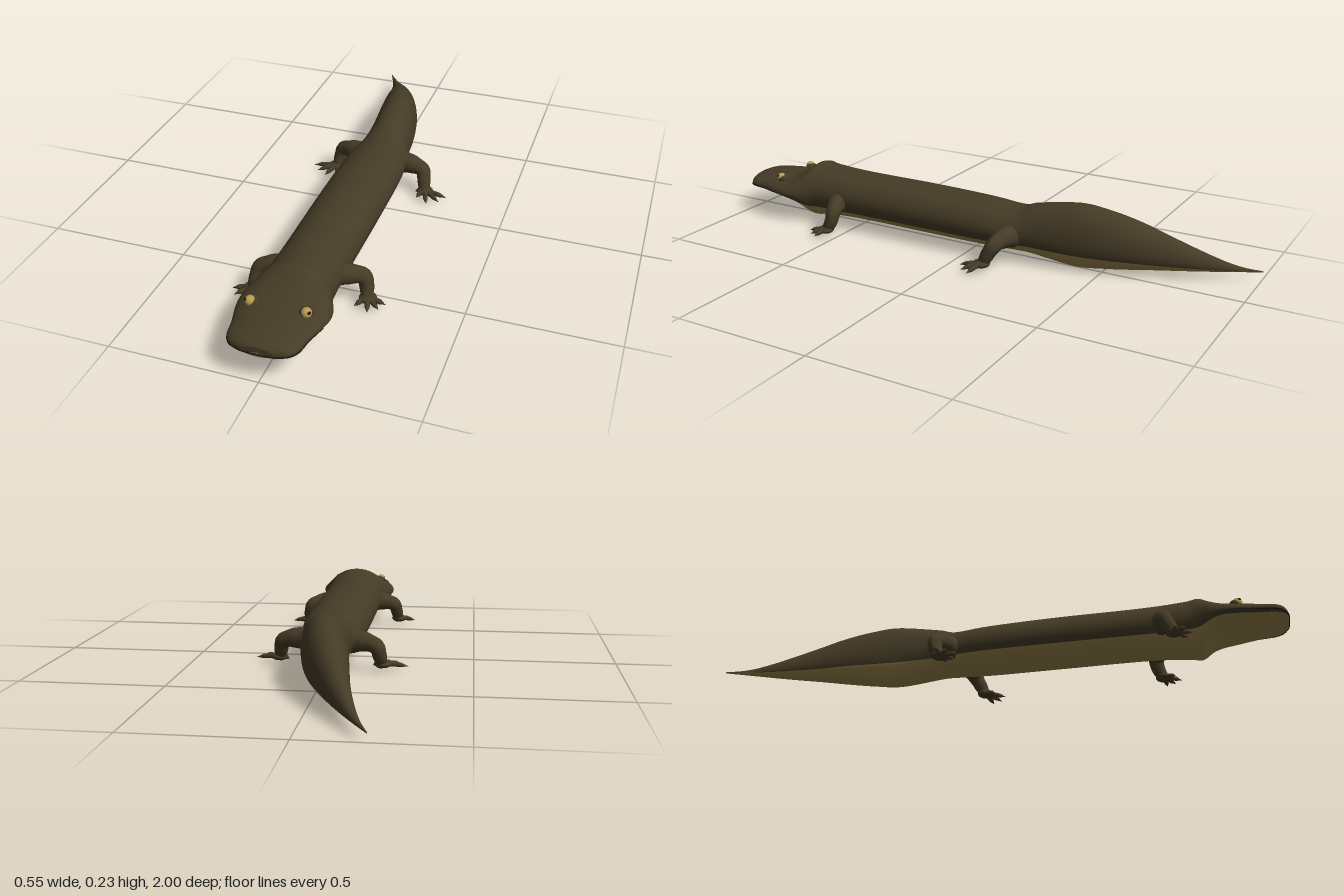
import * as THREE from 'three';

const skin = new THREE.MeshStandardMaterial({ color: 0x453b26 });
skin.name = 'dark olive skin';
const belly = new THREE.MeshStandardMaterial({ color: 0x96824a });
belly.name = 'tan belly';
const gold = new THREE.MeshStandardMaterial({ color: 0xb89c4c });
gold.name = 'gold iris';
const dark = new THREE.MeshStandardMaterial({ color: 0x1c170f });
dark.name = 'near black';

// Cross-sections from snout to tail tip:
// z, half width, top y, widest y, bottom y, y of the colour border
const SECTIONS = [
  [1.0, 0.05, 0.137, 0.12, 0.104, 0.112],
  [0.985, 0.092, 0.147, 0.12, 0.1, 0.11],
  [0.955, 0.115, 0.154, 0.12, 0.096, 0.108],
  [0.9, 0.125, 0.16, 0.12, 0.092, 0.107],
  [0.83, 0.144, 0.165, 0.118, 0.087, 0.104],
  [0.78, 0.15, 0.173, 0.116, 0.078, 0.1],
  [0.74, 0.142, 0.195, 0.116, 0.052, 0.09],
  [0.7, 0.125, 0.221, 0.116, 0.013, 0.074],
  [0.65, 0.116, 0.215, 0.117, 0.018, 0.073],
  [0.5, 0.115, 0.207, 0.117, 0.029, 0.073],
  [0.2, 0.116, 0.206, 0.117, 0.03, 0.074],
  [-0.05, 0.113, 0.2, 0.115, 0.03, 0.074],
  [-0.18, 0.1, 0.193, 0.11, 0.032, 0.074],
  [-0.25, 0.086, 0.213, 0.112, 0.028, 0.074],
  [-0.4, 0.08, 0.235, 0.11, 0.005, 0.067],
  [-0.5, 0.076, 0.222, 0.105, 0.01, 0.064],
  [-0.6, 0.066, 0.193, 0.095, 0.018, 0.06],
  [-0.7, 0.05, 0.15, 0.08, 0.025, 0.053],
  [-0.9, 0.016, 0.06, 0.043, 0.031, 0.039],
  [-1.0, 0.002, 0.035, 0.033, 0.031, 0.0325],
];

// The tail sweeps sideways in a parabola behind the hips
const spineX = z => -0.212 * (Math.max(0, -0.2 - z) / 0.8) ** 2;

// Smooth interpolation between neighbouring cross-sections
function sectionAt(t) {
  const last = SECTIONS.length - 1;
  const i = Math.min(Math.floor(t), last - 1), f = t - i;
  const row = k => SECTIONS[THREE.MathUtils.clamp(k, 0, last)];
  return row(i).map((p1, k) => {
    const p0 = row(i - 1)[k], p2 = row(i + 1)[k], p3 = row(i + 2)[k];
    const m1 = (p2 - p0) / 2, m2 = (p3 - p1) / 2;
    return p1 + f * (m1 + f * (3 * (p2 - p1) - 2 * m1 - m2 + f * (2 * (p1 - p2) + m1 + m2)));
  });
}

// Head, trunk and tail in one skin, with the belly as a second material group
function bodyGeometry() {
  const UPPER = 36, LOWER = 20, N = UPPER + LOWER, STEPS = 6;
  const positions = [], back = [], under = [];
  const rings = (SECTIONS.length - 1) * STEPS;
  for (let r = -1; r <= rings + 1; r++) {
    const [z, w, top, mid, bottom, border] = sectionAt(THREE.MathUtils.clamp(r, 0, rings) / STEPS);
    const size = r < 0 || r > rings ? 0.001 : 1; // closed ends
    const a = Math.asin(THREE.MathUtils.clamp((mid - border) / (mid - bottom), 0, 1));
    for (let j = 0; j < N; j++) {
      const th = j < UPPER
        ? -a + (Math.PI + 2 * a) * j / UPPER
        : Math.PI + a + (Math.PI - 2 * a) * (j - UPPER) / LOWER;
      const sn = Math.sin(th);
      const h = sn > 0 ? top - mid : mid - bottom;
      positions.push(spineX(z) + w * Math.cos(th) * size, mid + h * sn * size, z);
    }
  }
  for (let r = 0; r < rings + 2; r++) {
    for (let j = 0; j < N; j++) {
      const a = r * N + j, b = r * N + (j + 1) % N, c = a + N, d = b + N;
      (j < UPPER ? back : under).push(a, c, b, b, c, d);
    }
  }
  const g = new THREE.BufferGeometry();
  g.setAttribute('position', new THREE.Float32BufferAttribute(positions, 3));
  g.setIndex(back.concat(under));
  g.addGroup(0, back.length, 0);
  g.addGroup(back.length, under.length, 1);
  g.computeVertexNormals();
  return g;
}

// Tube along points whose radius follows a list of values
function taperedTube(points, radii, segments, sides) {
  const curve = new THREE.CatmullRomCurve3(points.map(p => new THREE.Vector3(...p)));
  const g = new THREE.TubeGeometry(curve, segments, 1, sides);
  const pos = g.attributes.position, v = new THREE.Vector3();
  for (let i = 0; i <= segments; i++) {
    const u = i / segments, t = u * (radii.length - 1);
    const k = Math.min(Math.floor(t), radii.length - 2);
    const f = THREE.MathUtils.smoothstep(t - k, 0, 1);
    const radius = THREE.MathUtils.lerp(radii[k], radii[k + 1], f);
    const c = curve.getPointAt(u);
    for (let j = 0; j <= sides; j++) {
      const n = i * (sides + 1) + j;
      v.fromBufferAttribute(pos, n).sub(c).multiplyScalar(radius).add(c);
      pos.setXYZ(n, v.x, v.y, v.z);
    }
  }
  g.computeVertexNormals();
  return g;
}

function mesh(name, geometry, material, parent) {
  const m = new THREE.Mesh(geometry, material);
  m.name = name;
  parent.add(m);
  return m;
}

// One leg: side (+1 left), hip z, ankle z, and the toe tips as [distance out, z]
function makeLeg(name, side, hipZ, ankleZ, toes) {
  const leg = new THREE.Group();
  leg.name = name;
  const kneeZ = ankleZ + (hipZ - ankleZ) * 0.2 - 0.01;
  const footZ = ankleZ + 0.018;
  mesh('limb', taperedTube([
    [0.07 * side, 0.105, hipZ], [0.125 * side, 0.105, (hipZ + kneeZ) / 2],
    [0.167 * side, 0.092, kneeZ], [0.178 * side, 0.06, ankleZ], [0.184 * side, 0.024, footZ],
  ], [0.046, 0.037, 0.029, 0.025, 0.02], 24, 14), skin, leg);
  const foot = mesh('foot', new THREE.SphereGeometry(1, 16, 12), skin, leg);
  foot.scale.set(0.03, 0.014, 0.03);
  foot.position.set(0.188 * side, 0.027, footZ);
  for (const [out, tipZ] of toes) {
    const middle = [(0.084 + out * 0.55) * side, 0.025, footZ * 0.45 + tipZ * 0.55];
    mesh('toe', taperedTube([[0.186 * side, 0.027, footZ], middle, [out * side, 0.018, tipZ]],
      [0.011, 0.009, 0.0085, 0.001], 10, 8), skin, leg);
  }
  return leg;
}

function makeEye(side) {
  const eye = new THREE.Group();
  eye.name = side > 0 ? 'leftEye' : 'rightEye';
  const lid = mesh('eyelid', new THREE.SphereGeometry(0.022, 20, 14), skin, eye);
  lid.scale.set(1, 0.75, 1);
  lid.position.set(0, -0.005, -0.004);
  const iris = mesh('iris', new THREE.SphereGeometry(0.017, 20, 14), gold, eye);
  iris.position.set(0.004 * side, 0, 0.003);
  // The pupil faces outward, up and forward
  const pupil = mesh('pupil', new THREE.SphereGeometry(1, 14, 10), dark, eye);
  const out = new THREE.Vector3(0.75 * side, 0.45, 0.5).normalize();
  pupil.scale.set(0.007, 0.005, 0.002);
  pupil.position.copy(iris.position).addScaledVector(out, 0.0165);
  pupil.quaternion.setFromUnitVectors(new THREE.Vector3(0, 0, 1), out);
  eye.position.set(0.087 * side, 0.161, 0.83);
  return eye;
}

export function createModel() {
  const model = new THREE.Group();
  model.name = 'salamander';
  mesh('body', bodyGeometry(), [skin, belly], model);

  // Thin mouth line around the snout
  const lip = [];
  for (let i = 0; i <= 8; i++) {
    const [z, w, , mid] = sectionAt(4 * (1 - i / 8));
    lip.push([w * 0.99, mid - 0.006, z]);
  }
  const mirrored = lip.slice().reverse().map(([x, y, z]) => [-x, y, z]);
  mesh('mouthLine', taperedTube(lip.concat(mirrored), [0.001, 0.0025, 0.0025, 0.001], 60, 6), dark, model);

  model.add(makeEye(1), makeEye(-1));

  model.add(
    makeLeg('frontLeftLeg', 1, 0.56, 0.53,
      [[0.25, 0.555], [0.235, 0.585], [0.205, 0.61], [0.155, 0.592]]),
    makeLeg('frontRightLeg', -1, 0.57, 0.6,
      [[0.252, 0.628], [0.233, 0.66], [0.193, 0.68], [0.155, 0.66]]),
    makeLeg('hindLeftLeg', 1, -0.18, -0.145,
      [[0.272, -0.115], [0.252, -0.08], [0.212, -0.055], [0.165, -0.085], [0.152, -0.125]]),
    makeLeg('hindRightLeg', -1, -0.19, -0.215,
      [[0.275, -0.185], [0.25, -0.15], [0.212, -0.125], [0.17, -0.145], [0.152, -0.18]]),
  );
  return model;
}
